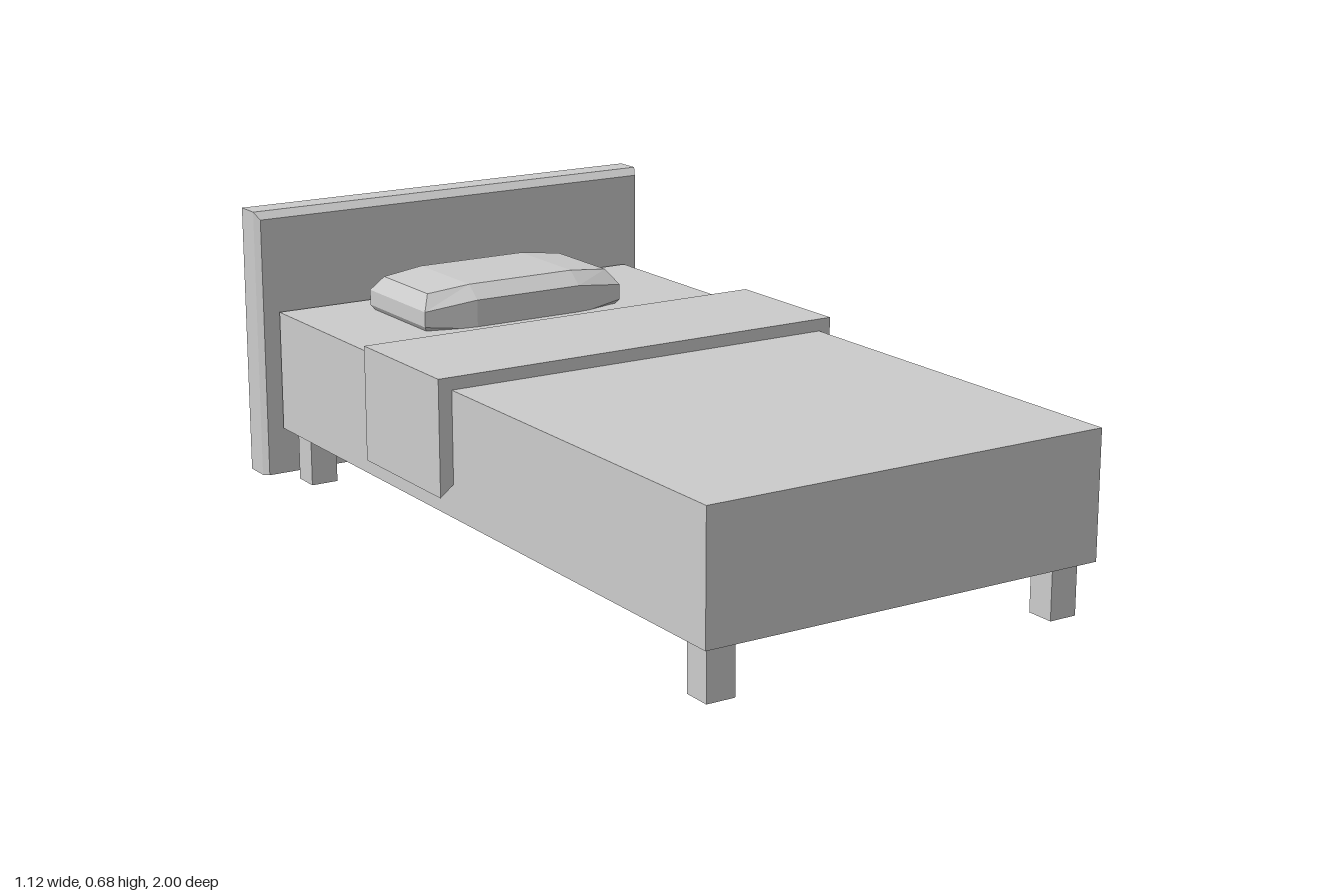
import * as THREE from 'three';

const material = new THREE.MeshStandardMaterial({ color: 0xcccccc, flatShading: true });

function addMesh(parent, name, geometry) {
  const mesh = new THREE.Mesh(geometry, material);
  mesh.name = name;
  parent.add(mesh);
  return mesh;
}

// Box given by its minimum and maximum corners
function boxBetween([x0, y0, z0], [x1, y1, z1]) {
  return new THREE.BoxGeometry(x1 - x0, y1 - y0, z1 - z0)
    .translate((x0 + x1) / 2, (y0 + y1) / 2, (z0 + z1) / 2);
}

// Skin over rings of points (counter-clockwise seen from the last ring), capped with strips
function loft(rings) {
  const n = rings[0].length;
  const index = [];
  const quad = (a, b, c, d) => index.push(a, b, c, a, c, d);
  for (let r = 0; r < rings.length - 1; r++) {
    for (let i = 0; i < n; i++) {
      const j = (i + 1) % n;
      quad(r * n + i, r * n + j, (r + 1) * n + j, (r + 1) * n + i);
    }
  }
  const last = (rings.length - 1) * n;
  for (let i = 0; i < n / 2 - 1; i++) {
    quad(last + i, last + i + 1, last + n - 2 - i, last + n - 1 - i);
    quad(n - 1 - i, n - 2 - i, i + 1, i);
  }
  const geometry = new THREE.BufferGeometry();
  geometry.setAttribute('position', new THREE.Float32BufferAttribute(rings.flat(2), 3));
  geometry.setIndex(index);
  const flat = geometry.toNonIndexed();
  flat.computeVertexNormals();
  return flat;
}

// Headboard with chamfered front edges on the top and sides
function headboardGeometry() {
  const ring = (z, x0, x1, y0, y1) => [[x0, y0, z], [x1, y0, z], [x1, y1, z], [x0, y1, z]];
  return loft([
    ring(-1, -0.56, 0.557, 0.005, 0.683),
    ring(-0.935, -0.56, 0.557, 0.005, 0.683),
    ring(-0.916, -0.55, 0.547, 0.007, 0.665),
  ]);
}

// Folded blanket: U-shaped section over the mattress
function blanketGeometry() {
  const section = new THREE.Shape([
    [-0.545, 0.18], [-0.511, 0.207], [-0.511, 0.428], [0.506, 0.428],
    [0.506, 0.207], [0.538, 0.18], [0.538, 0.458], [-0.545, 0.458],
  ].map(([x, y]) => new THREE.Vector2(x, y)));
  return new THREE.ExtrudeGeometry(section, { depth: 0.36, bevelEnabled: false })
    .translate(0, 0, -0.38);
}

// Pillow: bulging octagonal outline, chamfered above and below
function pillowGeometry() {
  const zMid = -0.669;
  const ring = (endX, endZ, midZ, endY, midY) => {
    const front = [[-0.0265 - endX, endY, endZ], [-0.17, midY, midZ],
      [0.12, midY, midZ], [-0.0265 + endX, endY, endZ]];
    const back = front.map(([x, y, z]) => [x, y, -z]).reverse();
    return [...front, ...back].map(([x, y, z]) => [x, y, z + zMid]);
  };
  return loft([
    ring(0.254, 0.113, 0.123, 0.403, 0.391),
    ring(0.2785, 0.144, 0.163, 0.44, 0.423),
    ring(0.2785, 0.144, 0.163, 0.478, 0.495),
    ring(0.254, 0.113, 0.123, 0.515, 0.527),
  ]);
}

export function createModel() {
  const bed = new THREE.Group();
  bed.name = 'bed';

  addMesh(bed, 'mattress', boxBetween([-0.511, 0.127, -0.907], [0.506, 0.428, 1]));
  addMesh(bed, 'headboard', headboardGeometry());
  addMesh(bed, 'blanket', blanketGeometry());
  addMesh(bed, 'pillow', pillowGeometry());

  // Four square legs
  const legs = new THREE.Group();
  legs.name = 'legs';
  bed.add(legs);
  for (const [end, z] of [['front', 0.9], ['back', -0.87]]) {
    for (const [side, x] of [['Right', -0.488], ['Left', 0.409]]) {
      addMesh(legs, `${end}${side}Leg`, boxBetween([x, 0, z], [x + 0.07, 0.13, z + 0.07]));
    }
  }
  return bed;
}
